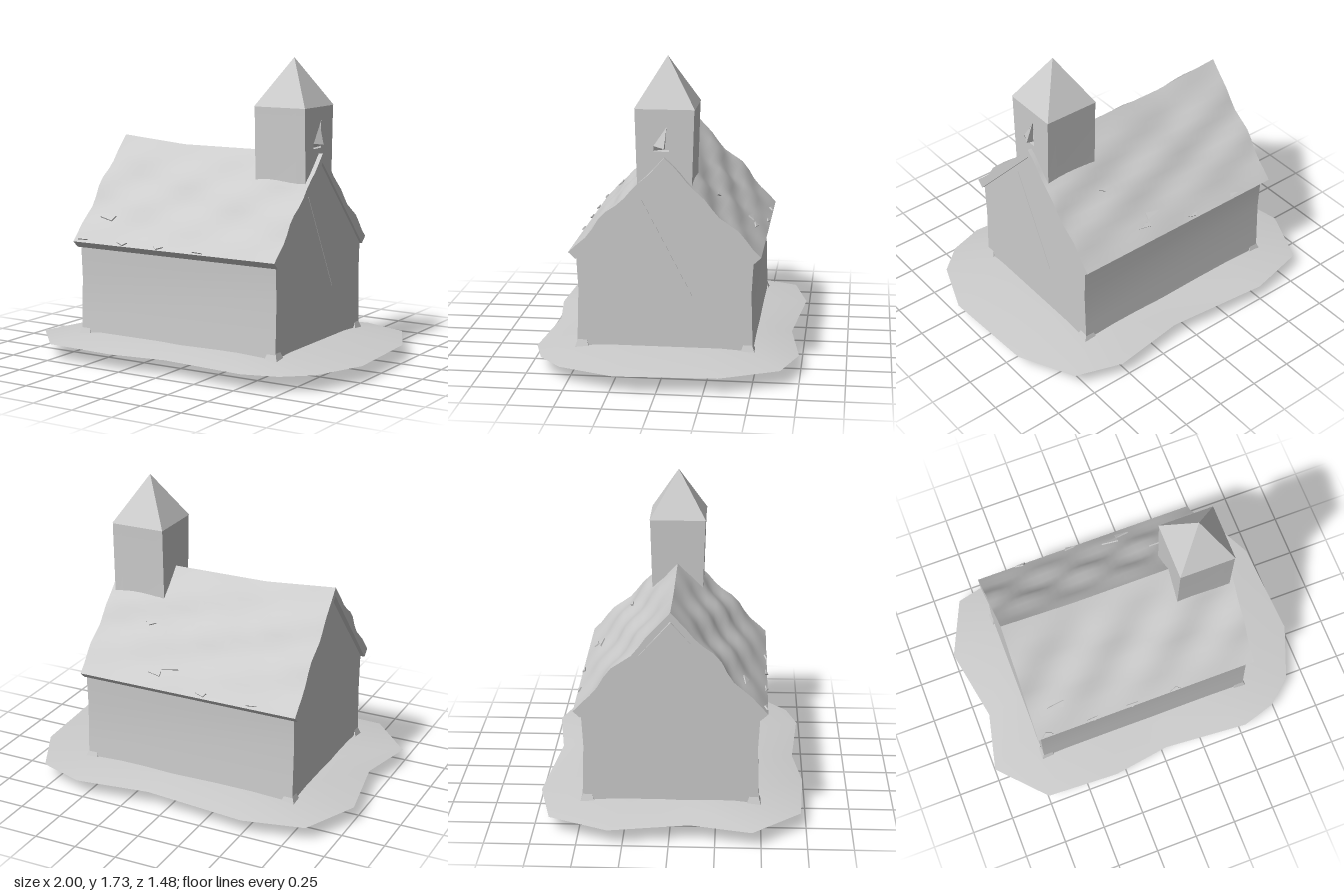
import * as THREE from 'three';
import { toCreasedNormals } from 'three/addons/utils/BufferGeometryUtils.js';
import { ConvexGeometry } from 'three/addons/geometries/ConvexGeometry.js';

export function createModel() {
  const model = new THREE.Group();
  const stone = new THREE.MeshStandardMaterial({ color: 0xcccccc });
  stone.name = 'pale stone';

  const add = (name, geometry, crease = 0.6) => {
    const mesh = new THREE.Mesh(toCreasedNormals(geometry, crease), stone);
    mesh.name = name;
    model.add(mesh);
    return mesh;
  };
  // Extrudes a (z, y) outline along x, from x0 to x1
  const extrudeX = (shape, x0, x1) =>
    new THREE.ExtrudeGeometry(shape, { depth: x1 - x0, bevelEnabled: false })
      .rotateY(-Math.PI / 2).translate(x1, 0, 0);
  const outline = (points) => points.map(([a, b]) => new THREE.Vector2(a, b));

  // Ground: irregular rim lofted between a shallow mound and a flat underside
  const rim = [
    [-0.85, -0.66], [-0.5, -0.74], [0.11, -0.68], [0.54, -0.74], [0.81, -0.65], [0.97, -0.33],
    [1, 0.23], [0.88, 0.54], [0.73, 0.67], [0.53, 0.73], [0.02, 0.69], [-0.32, 0.74],
    [-0.75, 0.72], [-1, 0.45], [-0.92, 0.11], [-1, -0.33],
  ];
  // Each ring: x scale, z scale, x shift, height
  const rings = [
    [0, 0, 0, 0.135], [0.7, 0.68, -0.03, 0.135], [1, 1, 0, 0.09],
    [0.5, 0.36, 0.2, 0.008], [0, 0, 0.2, 0],
  ];
  const n = rim.length, verts = [], faces = [];
  rings.forEach(([sx, sz, dx, y], r) => rim.forEach(([x, z], i) => {
    verts.push(x * sx + dx, y, z * sz);
    if (r === 0) return;
    const a = (r - 1) * n + i, b = (r - 1) * n + (i + 1) % n;
    if (r < rings.length - 1) faces.push(b, b + n, a + n);
    if (r > 1) faces.push(b, a + n, a);
  }));
  const ground = new THREE.BufferGeometry();
  ground.setAttribute('position', new THREE.Float32BufferAttribute(verts, 3));
  ground.setIndex(faces);
  add('ground', ground);

  // Walls: gabled section with slightly uneven sides
  const side = [[0.49, 0.1], [0.485, 0.22], [0.478, 0.45], [0.488, 0.63]];
  const section = [...side, [0, 1.17], ...side.map(([z, y]) => [-z, y]).reverse()];
  add('walls', extrudeX(new THREE.Shape(outline(section)), -0.695, 0.605));

  // Roof: one worn sheet folded over the ridge, thinning to the eaves
  const roof = new THREE.BoxGeometry(1.34, 2, 2, 28, 1, 24);
  const p = roof.attributes.position;
  for (let i = 0; i < p.count; i++) {
    const x = p.getX(i) - 0.05, t = Math.abs(p.getZ(i)), s = Math.sign(p.getZ(i));
    const top = p.getY(i) > 0;
    const bump = 0.007 * (Math.sin(x * 13 + t * 9 + s) + Math.sin(x * 7 - t * 17 + s * 2))
      * Math.sin(Math.PI * Math.min(t, 1));
    const sag = 0.035 * Math.max(0, (-x - 0.3) / 0.42) * (1 - t);
    if (top) p.setXYZ(i, x, 1.2 - 0.538 * t + bump + sag, s * (0.53 * t + bump));
    else p.setXYZ(i, x, 1.15 - 0.525 * t + sag, s * 0.49 * t);
  }
  add('roof', roof);

  // Broken shingles lifting off the slopes: x, distance down the slope, side, size, turn
  [
    [-0.55, 0.76, 1, 0.05, 0.4], [-0.66, 0.97, 1, 0.03, 1.2], [-0.38, 0.98, 1, 0.03, 0.2],
    [-0.14, 0.98, 1, 0.03, 2], [0.13, 0.98, 1, 0.03, 0.9], [0.1, 0.82, -1, 0.05, 0.5],
    [0.16, 0.88, -1, 0.04, 1.6], [0.3, 0.5, -1, 0.03, 1], [-0.45, 0.97, -1, 0.03, 0.3],
    [-0.15, 0.97, -1, 0.03, 1.4],
  ].forEach(([x, t, s, size, turn]) => {
    const shingle = add('shingle',
      new THREE.CylinderGeometry(size, size, 0.008, 3).rotateY(turn).scale(1.3, 1, 0.45));
    shingle.position.set(x, 1.205 - 0.538 * t, s * (0.53 * t + 0.005));
    shingle.rotation.x = s * 0.68;
  });

  // Tower: solid body, and a front slab pierced by the belfry opening
  const body = [[-0.15, 0.85], [0.15, 0.85], [0.15, 1.06], [0.162, 1.46], [-0.162, 1.46], [-0.15, 1.06]];
  add('towerBody', extrudeX(new THREE.Shape(outline(body)), 0.275, 0.54));
  const front = new THREE.Shape(outline(body));
  front.holes.push(new THREE.Path(outline([[0.06, 1.23], [0.06, 1.26], [-0.025, 1.385], [-0.025, 1.23]])));
  add('towerFront', extrudeX(front, 0.54, 0.595));

  // Splintered shutter leaning out of the opening
  add('shutter', new ConvexGeometry([
    [0.57, 1.23, 0.06], [0.595, 1.26, 0.06], [0.592, 1.37, -0.012], [0.625, 1.25, 0.0], [0.58, 1.24, 0.0],
  ].map((v) => new THREE.Vector3(...v))));

  // Spire: four-sided pyramid
  const spire = new THREE.ConeGeometry(Math.SQRT1_2, 0.27, 4).rotateY(Math.PI / 4).scale(0.324, 1, 0.33);
  add('spire', spire).position.set(0.435, 1.595, 0);

  // Slender crack line down the gable
  const crack = add('gableCrack', new THREE.BoxGeometry(0.006, 0.61, 0.006));
  crack.position.set(0.605, 0.7, -0.01);
  crack.rotation.x = 0.48;

  // Corner footings where the walls splay into the ground
  for (const x of [-0.67, 0.58]) for (const s of [-1, 1]) {
    add('cornerFooting', new THREE.ConeGeometry(0.06, 0.12, 4).rotateY(Math.PI / 4))
      .position.set(x, 0.17, s * 0.46);
  }
  return model;
}
